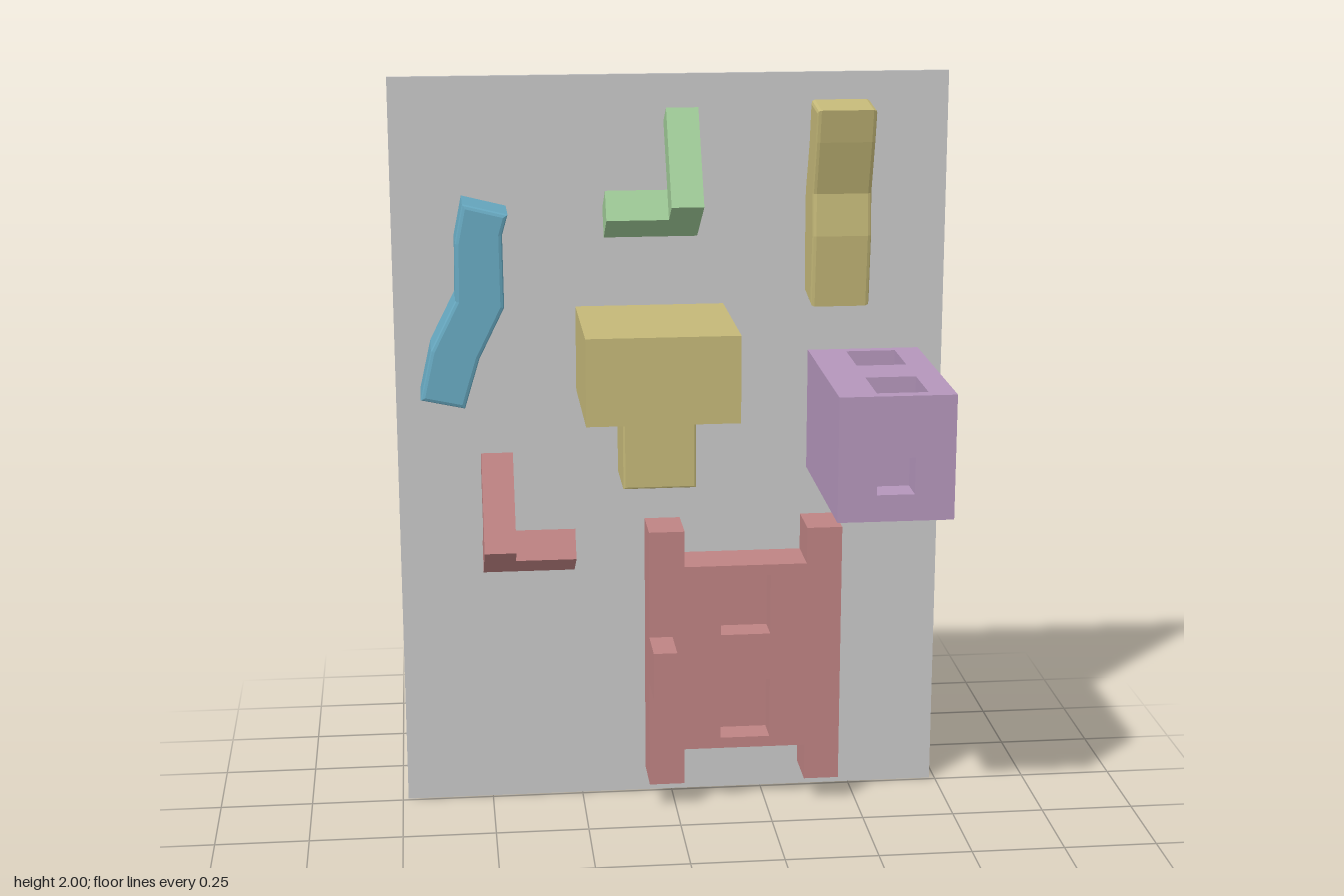
import * as THREE from 'three';

const mat = (name, color) => new THREE.MeshStandardMaterial({ name, color });
const BACK = -0.259; // front surface of the board

// Rectangle as outline points: x0, x1, y0, y1
const rect = (x0, x1, y0, y1) => [[x0, y0], [x1, y0], [x1, y1], [x0, y1]];
const vecs = (pts) => pts.map(([x, y]) => new THREE.Vector2(x, y));

// Extruded outline with optional holes and edge bevel
function slab(outline, depth, holes = [], bevel = 0) {
  const shape = new THREE.Shape(vecs(outline));
  holes.forEach((h) => shape.holes.push(new THREE.Path(vecs(h))));
  const geo = new THREE.ExtrudeGeometry(shape, {
    depth: depth - 2 * bevel, bevelEnabled: bevel > 0, bevelSize: bevel,
    bevelThickness: bevel, bevelOffset: -bevel, bevelSegments: 2,
  });
  return geo.translate(0, 0, bevel);
}

// Box given by its extents
function box(x0, x1, y0, y1, z0, z1) {
  return new THREE.BoxGeometry(x1 - x0, y1 - y0, z1 - z0)
    .translate((x0 + x1) / 2, (y0 + y1) / 2, (z0 + z1) / 2);
}

export function createModel() {
  const grey = mat('board grey', 0xc8c8c8);
  const red = mat('dusty red', 0xbe8383);
  const yellow = mat('mustard yellow', 0xc4b878);
  const purple = mat('soft purple', 0xb496bb);
  const blue = mat('sea blue', 0x68aac2);
  const green = mat('leaf green', 0x9fca97);

  const model = new THREE.Group();
  model.name = 'climbingBoard';
  const group = (name, parent = model) => {
    const g = new THREE.Group();
    g.name = name;
    parent.add(g);
    return g;
  };
  const add = (parent, name, geo, material) => {
    const m = new THREE.Mesh(geo, material);
    m.name = name;
    parent.add(m);
    return m;
  };

  // Backing board
  add(model, 'board', box(-0.735, 0.735, 0, 2, -0.269, BACK), grey);

  // Large H-shaped hold: solid back layer, front layer with two pockets, side knob
  const frame = group('frameHold');
  const h = [[-0.073, 0.07], [0.023, 0.07], [0.023, 0.17], [0.355, 0.17], [0.355, 0.07], [0.45, 0.07],
    [0.45, 0.795], [0.355, 0.795], [0.355, 0.695], [0.023, 0.695], [0.023, 0.795], [-0.073, 0.795]];
  const pockets = [rect(0.122, 0.257, 0.2, 0.367), rect(0.122, 0.257, 0.498, 0.665)];
  add(frame, 'frameBack', slab(h, 0.055).translate(0, 0, BACK), red);
  add(frame, 'frameFront', slab(h, 0.08, pockets).translate(0, 0, BACK + 0.055), red);
  add(frame, 'frameKnob', box(-0.073, -0.01, 0.365, 0.498, -0.124, 0.006), red);

  // Purple block: pockets in the top, front and bottom
  const block = group('pocketBlock');
  const lying = (depth, holes, y) =>
    slab(rect(0.37, 0.67, -0.269, -BACK), depth, holes).rotateX(-Math.PI / 2).translate(0, y, 0);
  add(block, 'blockTop', lying(0.1, [rect(0.47, 0.602, -0.235, -0.068), rect(0.47, 0.602, 0.064, 0.23)], 1.155), purple);
  add(block, 'blockBottom', lying(0.06, [rect(0.455, 0.6, -0.115, 0.05)], 0.928), purple);
  add(block, 'blockCore', box(0.37, 0.67, 0.988, 1.155, BACK, 0.189), purple);
  add(block, 'blockFront',
    slab(rect(0.37, 0.67, 0.988, 1.155), 0.08, [rect(0.47, 0.567, 0.998, 1.094)]).translate(0, 0, 0.189), purple);

  // Yellow stepped volume with a bevelled stem underneath
  const volume = group('steppedVolume');
  add(volume, 'volumeCap', box(-0.255, 0.14, 1.16, 1.388, BACK, 0.135), yellow);
  add(volume, 'volumeStem', slab(rect(-0.153, 0.036, 0.963, 1.17), 0.19, [], 0.005).translate(0, 0, -0.157), yellow);

  // Wavy bent holds
  const blueWave = [[-0.67, 1.178], [-0.555, 1.153], [-0.515, 1.285], [-0.448, 1.42], [-0.45, 1.61],
    [-0.435, 1.663], [-0.551, 1.692], [-0.572, 1.59], [-0.574, 1.44], [-0.64, 1.31]];
  add(model, 'blueWaveHold', slab(blueWave, 0.154, [], 0.01).translate(0, 0, BACK), blue);
  // outline runs in (-z, y)
  const yellowWave = [[0.135, 1.4], [0.246, 1.417], [0.257, 1.58], [0.257, 1.69], [0.202, 1.825],
    [0.178, 1.938], [0.06, 1.925], [0.08, 1.84], [0.124, 1.7], [0.115, 1.59]];
  add(model, 'yellowWaveHold',
    slab(yellowWave, 0.155, [], 0.01).rotateY(Math.PI / 2).translate(0.357, 0, 0), yellow);

  // Tilted corner holds: an upright bar with a foot set behind it; dir sets the foot's side
  function cornerHold(name, x, y, dir, material) {
    const g = group(name);
    g.position.set(x, y, -0.045);
    g.rotation.x = -0.553;
    const u = 0.084;
    add(g, 'cornerBar', box(-u / 2, u / 2, 0, 0.277, -u, 0), material);
    const [a, b] = [-dir * u / 2, dir * 0.204].sort((p, q) => p - q);
    add(g, 'cornerFoot', box(a, b, 0, u, -0.2, -u), material);
  }
  cornerHold('greenCornerHold', 0.023, 1.685, -1, green);
  cornerHold('redCornerHold', -0.472, 0.774, 1, red);

  return model;
}
